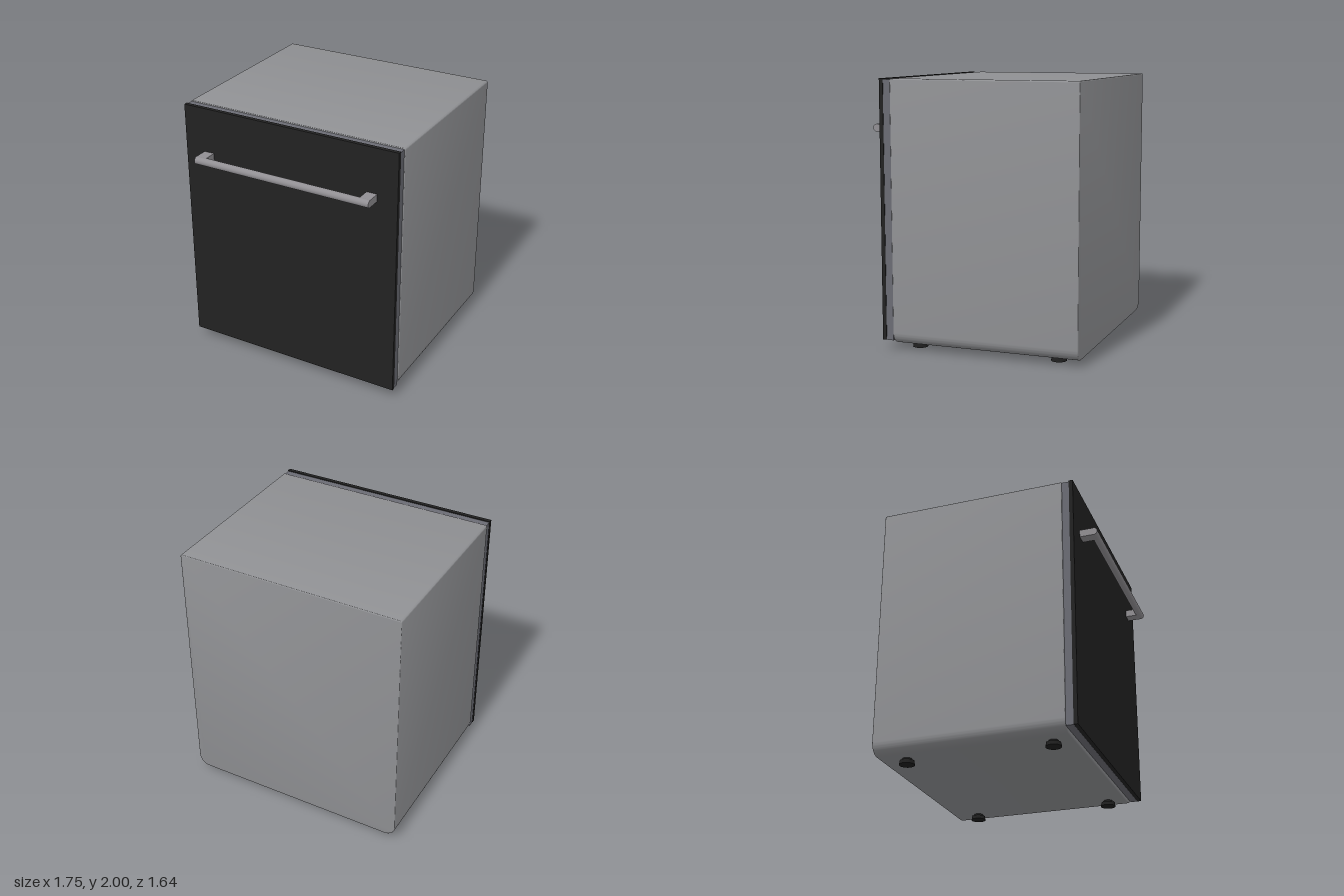
import * as THREE from 'three';
import { toCreasedNormals } from 'three/addons/utils/BufferGeometryUtils.js';

const paint = (name, color) => new THREE.MeshStandardMaterial({ name, color });

// Outline with small top corners and larger bottom corners
function cabinetOutline(w, y0, y1, top, bottom) {
  const s = new THREE.Shape();
  s.moveTo(-w + bottom, y0);
  s.lineTo(w - bottom, y0);
  s.absarc(w - bottom, y0 + bottom, bottom, -Math.PI / 2, 0);
  s.lineTo(w, y1 - top);
  s.absarc(w - top, y1 - top, top, 0, Math.PI / 2);
  s.lineTo(-w + top, y1);
  s.absarc(-w + top, y1 - top, top, Math.PI / 2, Math.PI);
  s.lineTo(-w, y0 + bottom);
  s.absarc(-w + bottom, y0 + bottom, bottom, Math.PI, Math.PI * 1.5);
  return s;
}

export function createModel() {
  const model = new THREE.Group();
  model.name = 'dishwasher';
  const steel = paint('cabinet grey', 0x8f9093);
  const lining = paint('door lining grey', 0x6b6c74);
  const black = paint('front panel black', 0x222222);
  const metal = paint('handle metal', 0x918f93);
  const rubber = paint('foot black', 0x1f1f1f);

  const add = (name, geometry, material, x, y, z, parent = model) => {
    const mesh = new THREE.Mesh(geometry, material);
    mesh.name = name;
    mesh.position.set(x, y, z);
    parent.add(mesh);
    return mesh;
  };

  // Cabinet with softly bevelled front and back edges
  const bevel = 0.008;
  const cabinet = new THREE.ExtrudeGeometry(
    cabinetOutline(0.873 - bevel, 0.045 + bevel, 2 - bevel, 0.006, 0.08),
    { depth: 1.425 - 2 * bevel, bevelSize: bevel, bevelThickness: bevel, bevelSegments: 3, curveSegments: 10 });
  add('cabinet', toCreasedNormals(cabinet, 0.6), steel, 0, 0, -0.82 + bevel);

  // Door: lining behind a black front panel
  add('doorLining', new THREE.BoxGeometry(1.732, 1.92, 0.055), lining, 0, 1.033, 0.6325);
  add('frontPanel', new THREE.BoxGeometry(1.738, 1.926, 0.03), black, 0, 1.037, 0.675);

  // Handle: round bar on two square posts
  const handle = new THREE.Group();
  handle.name = 'handle';
  model.add(handle);
  add('handleBar', new THREE.CylinderGeometry(0.029, 0.029, 1.424, 24), metal, 0, 1.631, 0.793, handle)
    .rotation.z = Math.PI / 2;
  for (const side of [-1, 1]) {
    add('handlePost', new THREE.BoxGeometry(0.082, 0.056, 0.105), metal, side * 0.671, 1.631, 0.7425, handle);
  }

  // Four feet, each a pad with a short stem
  for (const x of [-0.695, 0.695]) {
    for (const z of [0.465, -0.625]) {
      const foot = new THREE.Group();
      foot.name = 'foot';
      foot.position.set(x, 0, z);
      model.add(foot);
      add('footPad', new THREE.CylinderGeometry(0.052, 0.057, 0.03, 24), rubber, 0, 0.015, 0, foot);
      add('footStem', new THREE.CylinderGeometry(0.035, 0.035, 0.025, 20), rubber, 0, 0.04, 0, foot);
    }
  }
  return model;
}
